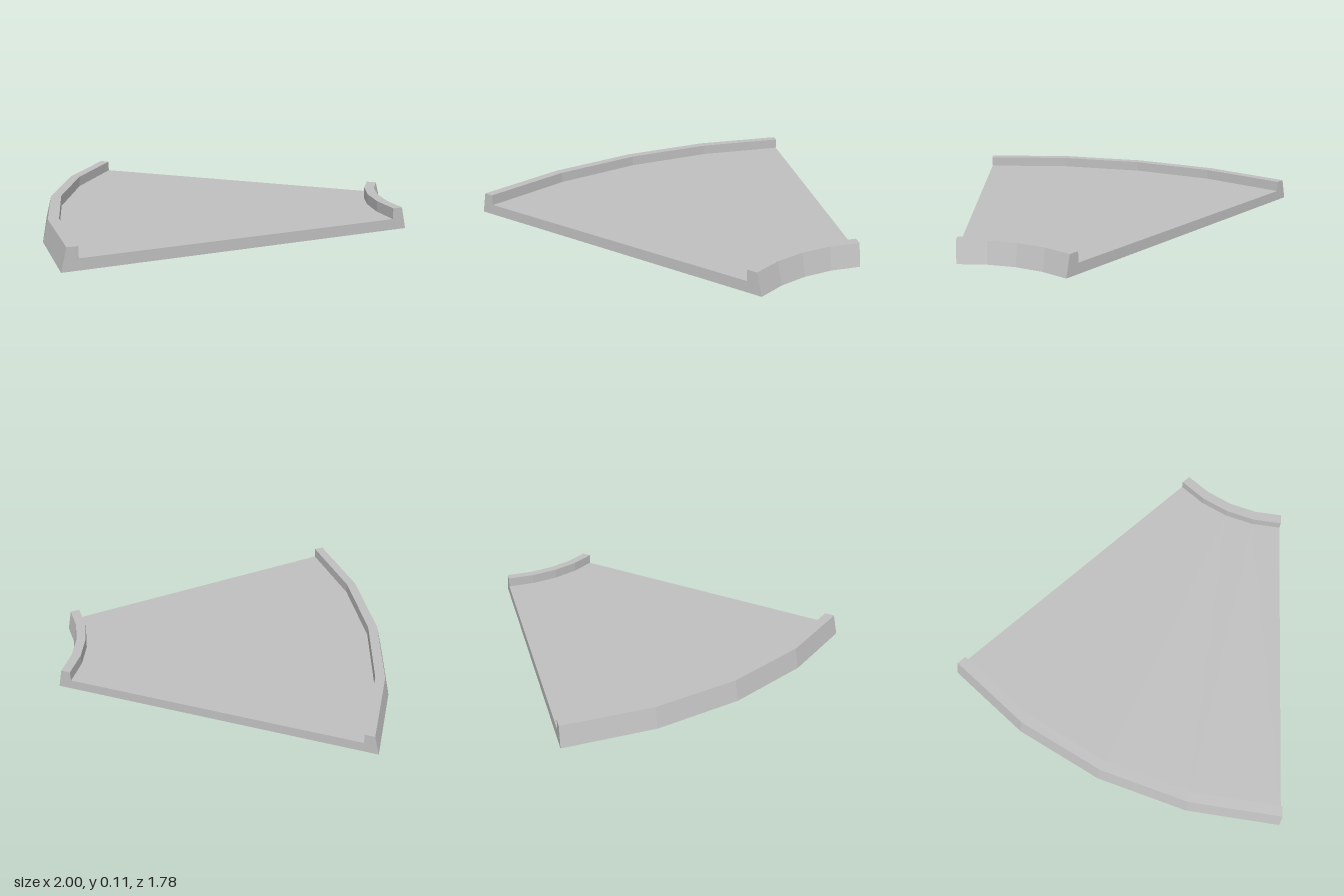
import * as THREE from 'three';

const CENTER_X = 1.517, CENTER_Z = 0.89; // centre of the bend
const SWEEP = Math.PI / 4, SEGMENTS = 4;
const KERB_Y = 0.11, DECK_Y = 0.055;

// Cross-section as (radius, height): flat deck with a sloped kerb on each side
const profile = [
  [0.734, 0], [2.517, 0],
  [2.49, KERB_Y], [2.437, KERB_Y], [2.437, DECK_Y],
  [0.812, DECK_Y], [0.812, KERB_Y], [0.76, KERB_Y],
].map(([r, y]) => new THREE.Vector2(r, y));

// Sweep a counter-clockwise cross-section around the bend and cap both ends
function sweepProfile(points) {
  const positions = [];
  const put = (p, step) => {
    const t = (SWEEP * step) / SEGMENTS;
    positions.push(CENTER_X - p.x * Math.cos(t), p.y, CENTER_Z - p.x * Math.sin(t));
  };
  for (let s = 0; s < SEGMENTS; s++) {
    points.forEach((a, i) => {
      const b = points[(i + 1) % points.length];
      put(a, s); put(b, s); put(b, s + 1);
      put(a, s); put(b, s + 1); put(a, s + 1);
    });
  }
  for (const [i, j, k] of THREE.ShapeUtils.triangulateShape(points, [])) {
    [k, j, i].forEach((n) => put(points[n], 0));
    [i, j, k].forEach((n) => put(points[n], SEGMENTS));
  }
  const geometry = new THREE.BufferGeometry();
  geometry.setAttribute('position', new THREE.Float32BufferAttribute(positions, 3));
  geometry.computeVertexNormals();
  return geometry;
}

export function createModel() {
  const grey = new THREE.MeshStandardMaterial({ color: 0xbfbfbf, flatShading: true });
  grey.name = 'light grey';

  const model = new THREE.Group();
  model.name = 'curvedTrackPiece';

  // Deck and kerbs in one closed solid
  const track = new THREE.Mesh(sweepProfile(profile), grey);
  track.name = 'deckWithKerbs';
  model.add(track);
  return model;
}
